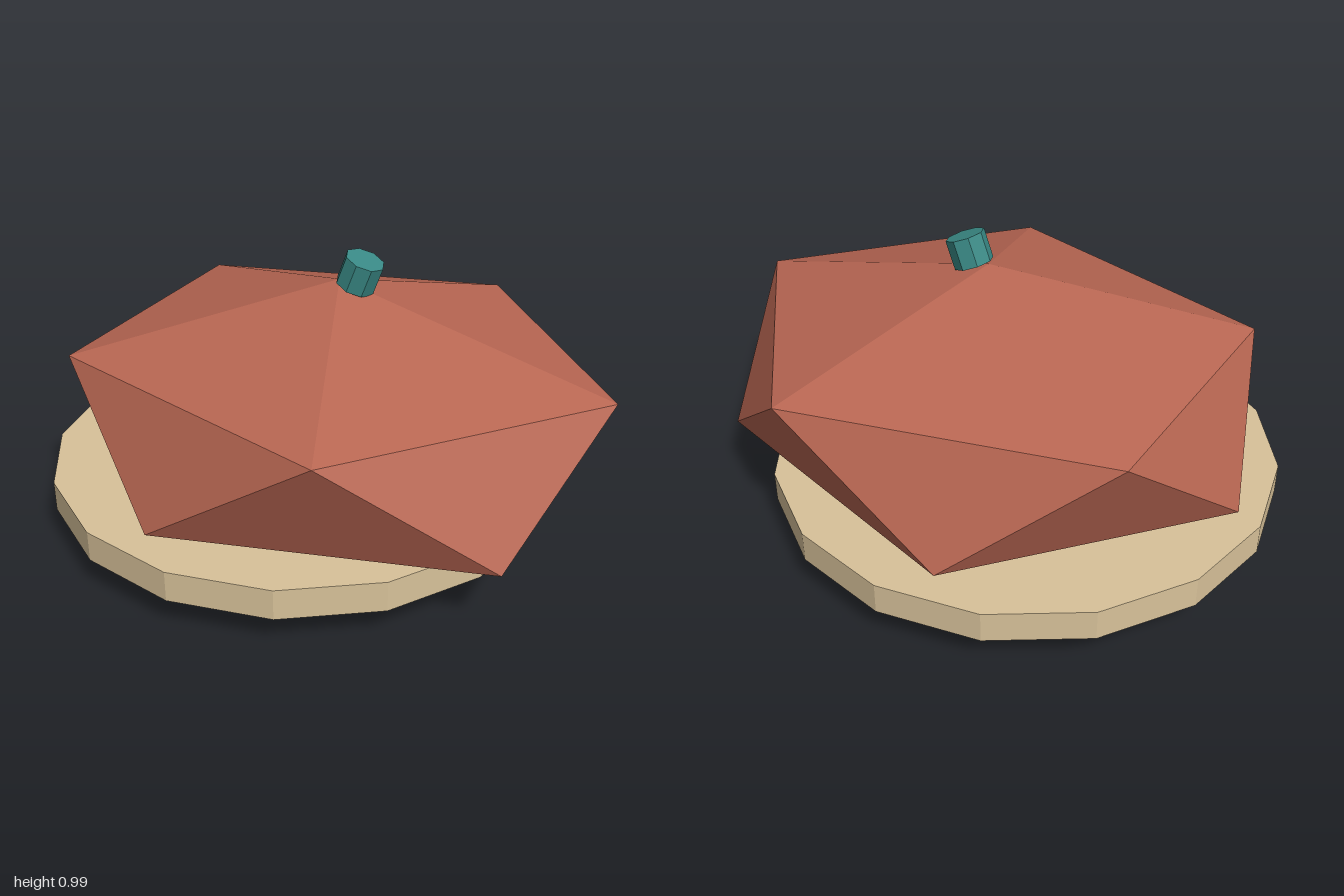
import * as THREE from 'three';

function part(name, geometry, color) {
  const material = new THREE.MeshStandardMaterial({ color, flatShading: true });
  const mesh = new THREE.Mesh(geometry, material);
  mesh.name = name;
  return mesh;
}

export function createModel() {
  const model = new THREE.Group();
  model.name = 'model';

  // Faceted body: icosahedron standing on a vertex, one upper ring corner towards +x, then squashed
  const bodyGeometry = new THREE.IcosahedronGeometry(1, 0);
  bodyGeometry.rotateX(-Math.atan((1 + Math.sqrt(5)) / 2));
  bodyGeometry.rotateY(Math.PI / 2);
  bodyGeometry.scale(1.071, 0.442, 0.911);
  const body = part('body', bodyGeometry, 0xb86652);
  body.position.set(0.035, 0.443, 0);
  model.add(body);

  // Flat sixteen-sided disc around the lower part of the body
  const disc = part('disc', new THREE.CylinderGeometry(0.884, 0.884, 0.106, 16), 0xd8c29a);
  disc.position.set(-0.117, 0.168, 0);
  model.add(disc);

  // Small tilted stem on the peak
  const stem = part('stem', new THREE.CylinderGeometry(0.068, 0.068, 0.102, 8), 0x3a8a86);
  stem.position.set(0.11, 0.92, 0);
  stem.rotation.z = -0.36;
  model.add(stem);

  return model;
}
